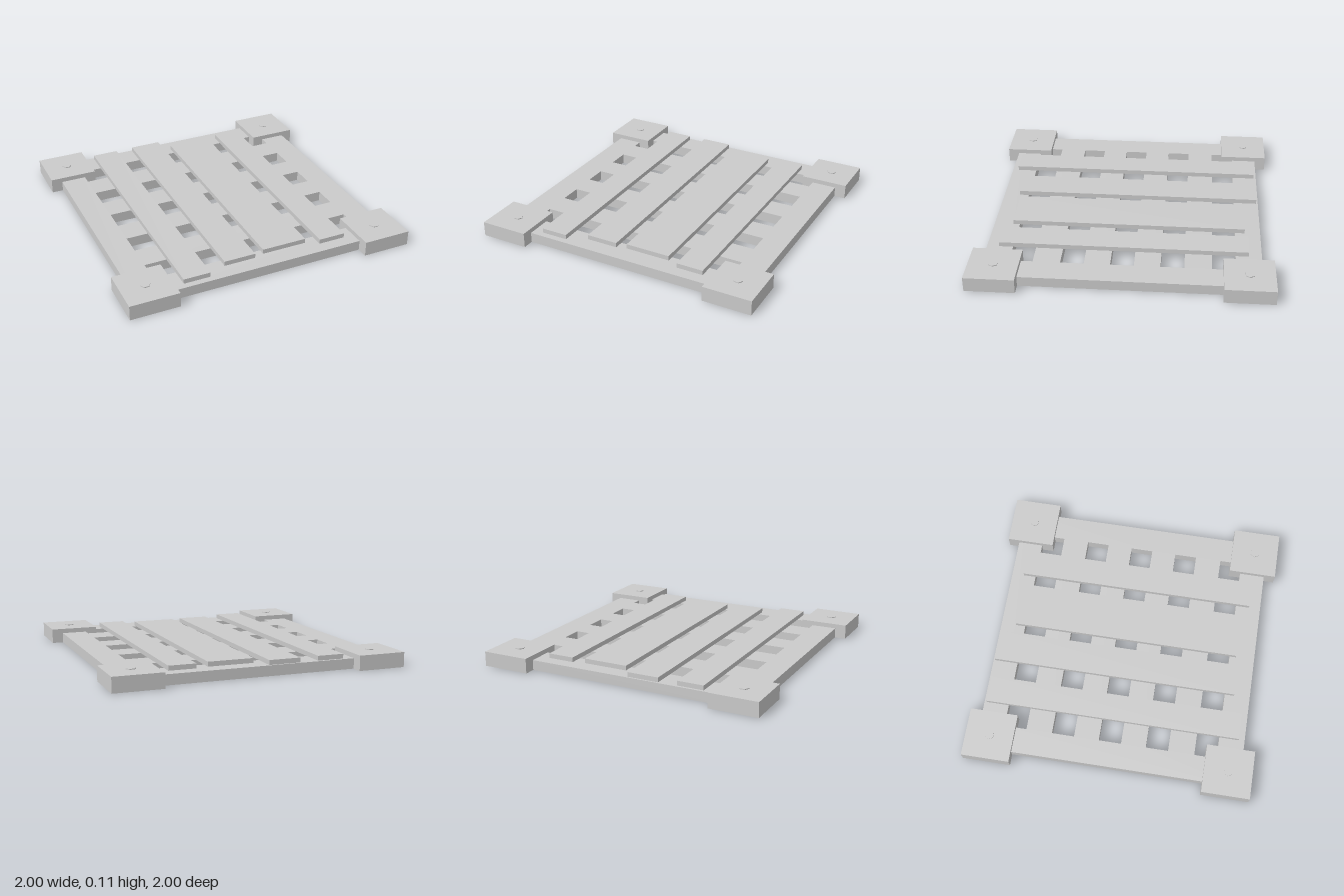
import * as THREE from 'three';

const material = new THREE.MeshStandardMaterial({ color: 0xcccccc, flatShading: true });

const FRAME_TOP = 0.07;
const BLOCK_TOP = 0.102;

function addMesh(parent, name, geometry, x = 0, y = 0, z = 0) {
  const mesh = new THREE.Mesh(geometry, material);
  mesh.name = name;
  mesh.position.set(x, y, z);
  parent.add(mesh);
  return mesh;
}

// Box given by its limits on each axis
function addBox(parent, name, [x0, x1], [y0, y1], [z0, z1]) {
  const geometry = new THREE.BoxGeometry(x1 - x0, y1 - y0, z1 - z0);
  return addMesh(parent, name, geometry, (x0 + x1) / 2, (y0 + y1) / 2, (z0 + z1) / 2);
}

function rectangle(path, x0, x1, y0, y1) {
  path.moveTo(x0, y0).lineTo(x1, y0).lineTo(x1, y1).lineTo(x0, y1).closePath();
  return path;
}

export function createModel() {
  const model = new THREE.Group();
  model.name = 'slattedPlatform';

  // Base frame: one slab cut by five equal slots
  const outline = rectangle(new THREE.Shape(), -0.922, 0.922, -0.922, 0.922);
  for (const z of [-0.67, -0.333, -0.002, 0.328, 0.667]) {
    outline.holes.push(rectangle(new THREE.Path(), -0.746, 0.746, -z - 0.078, -z + 0.078));
  }
  const slab = new THREE.ExtrudeGeometry(outline, { depth: FRAME_TOP, bevelEnabled: false });
  slab.rotateX(-Math.PI / 2);
  addMesh(model, 'baseFrame', slab);

  // Loose planks of uneven width and length laid across the frame
  const planks = [
    { x: [-0.595, -0.41], z: [-0.905, 0.88] },
    { x: [-0.28, -0.06], z: [-0.91, 0.81] },
    { x: [0.008, 0.322], z: [-0.815, 0.79] },
    { x: [0.405, 0.592], z: [-0.835, 0.84] },
  ];
  planks.forEach(({ x, z }, i) => addBox(model, `plank${i + 1}`, x, [FRAME_TOP, BLOCK_TOP], z));

  // Corner blocks, each with a hexagonal bolt head
  const blockGeometry = new THREE.BoxGeometry(0.334, BLOCK_TOP, 0.334);
  const boltGeometry = new THREE.CylinderGeometry(0.033, 0.033, 0.012, 6).rotateY(Math.PI / 6);
  for (const sx of [-1, 1]) {
    for (const sz of [-1, 1]) {
      const corner = new THREE.Group();
      corner.name = `${sz > 0 ? 'front' : 'back'}${sx > 0 ? 'Left' : 'Right'}Corner`;
      corner.position.set(sx * 0.833, 0, sz * 0.833);
      addMesh(corner, 'cornerBlock', blockGeometry, 0, BLOCK_TOP / 2, 0);
      addMesh(corner, 'boltHead', boltGeometry, 0, BLOCK_TOP, 0);
      model.add(corner);
    }
  }

  return model;
}
